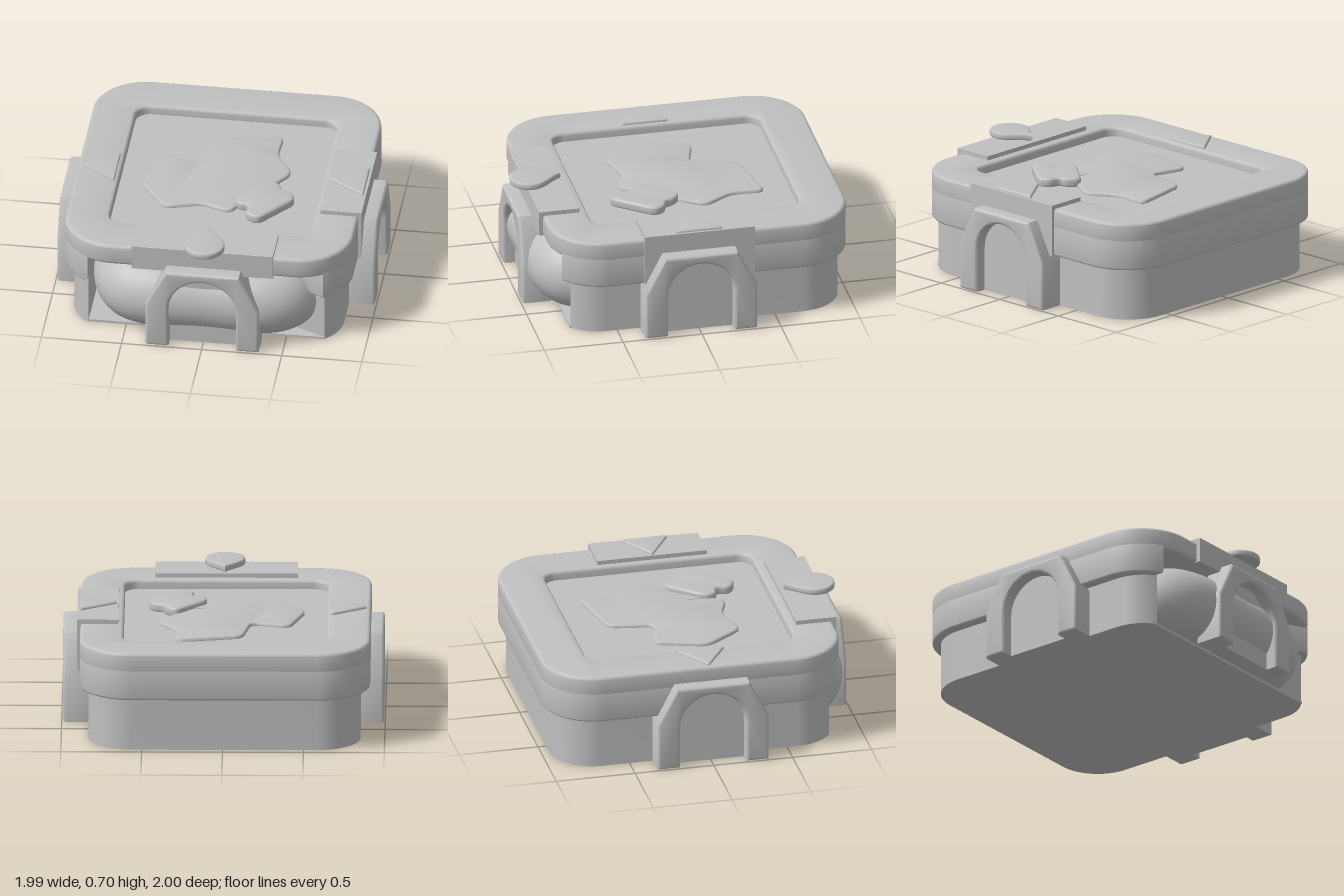
import * as THREE from 'three';
import { toCreasedNormals } from 'three/addons/utils/BufferGeometryUtils.js';

export function createModel() {
  const model = new THREE.Group();
  const grey = new THREE.MeshStandardMaterial({ color: 0xc0c0c0 });
  grey.name = 'plain grey';

  const add = (name, geometry) => {
    const mesh = new THREE.Mesh(geometry, grey);
    mesh.name = name;
    model.add(mesh);
    return mesh;
  };

  // Extrudes a shape from 0 to depth, with rounded edges inside its outline
  const extrude = (shape, depth, bevel) => toCreasedNormals(new THREE.ExtrudeGeometry(shape, {
    depth: depth - 2 * bevel, bevelEnabled: bevel > 0, bevelSize: bevel,
    bevelThickness: bevel, bevelOffset: -bevel, bevelSegments: 3, curveSegments: 10,
  }).translate(0, 0, bevel), 0.6);

  // Lays a plan shape drawn in (x, -z) flat, between two heights
  const slab = (name, shape, y0, y1, bevel = 0.015) =>
    add(name, extrude(shape, y1 - y0, bevel).rotateX(-Math.PI / 2).translate(0, y0, 0));

  // Polygon of (x, z) points with softened corners
  const softPolygon = (points, r) => {
    const p = points.map(([x, z]) => new THREE.Vector2(x, -z));
    const shape = new THREE.Shape();
    p.forEach((c, i) => {
      const prev = p[(i + p.length - 1) % p.length], next = p[(i + 1) % p.length];
      const toward = (q) => c.clone().lerp(q, Math.min(0.45, r / c.distanceTo(q)));
      const a = toward(prev), b = toward(next);
      if (i === 0) shape.moveTo(a.x, a.y); else shape.lineTo(a.x, a.y);
      shape.quadraticCurveTo(c.x, c.y, b.x, b.y);
    });
    shape.closePath();
    return shape;
  };

  const roundRect = (x0, x1, z0, z1, r) => {
    const s = new THREE.Shape();
    s.absarc(x1 - r, -z0 - r, r, 0, Math.PI / 2);
    s.absarc(x0 + r, -z0 - r, r, Math.PI / 2, Math.PI);
    s.absarc(x0 + r, -z1 + r, r, Math.PI, Math.PI * 1.5);
    s.absarc(x1 - r, -z1 + r, r, Math.PI * 1.5, Math.PI * 2);
    s.closePath();
    return s;
  };

  // Rounded rectangle with a wide bay cut into the front, leaving corner posts
  const bayOutline = (x0, x1, z0, z1, r, cut, bayBack) => {
    const a1 = Math.acos((cut - (x1 - r)) / r), a0 = Math.acos((cut + x0 + r) / r);
    const s = new THREE.Shape();
    s.moveTo(cut, -bayBack);
    s.absarc(x1 - r, -z1 + r, r, -a1, 0);
    s.absarc(x1 - r, -z0 - r, r, 0, Math.PI / 2);
    s.absarc(x0 + r, -z0 - r, r, Math.PI / 2, Math.PI);
    s.absarc(x0 + r, -z1 + r, r, Math.PI, Math.PI + a0);
    s.lineTo(-cut, -bayBack);
    s.closePath();
    return s;
  };

  // Base with front bay and floor
  slab('base', bayOutline(-0.85, 0.83, -0.95, 0.84, 0.27, 0.735, 0.1), 0, 0.36, 0);
  add('bayFloor', new THREE.BoxGeometry(1.48, 0.015, 0.7).translate(0, 0.0075, 0.43));

  // Lid: skirt, rim with recess, and sunken panel
  slab('lidSkirt', bayOutline(-0.91, 0.885, -1, 0.88, 0.33, 0.735, 0.1), 0.33, 0.535);
  const rim = roundRect(-0.91, 0.885, -1, 0.88, 0.33);
  rim.holes.push(roundRect(-0.64, 0.615, -0.715, 0.6, 0.09));
  slab('lidRim', rim, 0.5, 0.633, 0.02);
  slab('sunkenPanel', roundRect(-0.68, 0.66, -0.76, 0.64, 0.1), 0.5, 0.575, 0);

  // Raised patches on the panel
  slab('largePatch', softPolygon([
    [-0.51, 0.08], [-0.41, -0.25], [-0.17, -0.18], [-0.12, -0.47], [0.3, -0.56], [0.29, -0.34],
    [0.41, -0.16], [0.28, 0.04], [0.13, 0.24], [0.08, 0.33], [-0.1, 0.26], [-0.33, 0.33],
  ], 0.06), 0.56, 0.597);
  add('patchTab', new THREE.BoxGeometry(0.1, 0.03, 0.1).translate(0.17, 0.585, 0.145));
  slab('smallPatch', softPolygon([
    [0.1, 0.2], [0.29, -0.02], [0.36, 0.04], [0.37, 0.09], [0.44, 0.11], [0.47, 0.18],
    [0.27, 0.43], [0.18, 0.38], [0.2, 0.285], [0.12, 0.28],
  ], 0.05), 0.57, 0.63);

  // Rim plates
  add('frontPlate', new THREE.BoxGeometry(0.88, 0.16, 0.255).translate(-0.01, 0.58, 0.778));
  add('sidePlateTop', new THREE.BoxGeometry(0.255, 0.06, 0.695).translate(0.778, 0.63, -0.008));
  add('sidePlateSkirt', new THREE.BoxGeometry(0.06, 0.33, 0.695).translate(0.875, 0.495, -0.008));

  // Arrow and drop badges
  const arrow = (tip, base) => softPolygon([[tip, -0.005], [base, 0.145], [base, -0.16]], 0.02);
  slab('leftArrow', arrow(0.655, 0.89), 0.63, 0.677, 0.012);
  slab('rightArrow', arrow(-0.89, -0.665), 0.6, 0.65, 0.012);
  const drop = new THREE.Shape();
  drop.moveTo(0, -0.675);
  drop.bezierCurveTo(-0.03, -0.74, -0.125, -0.79, -0.125, -0.87);
  drop.absarc(0, -0.87, 0.125, Math.PI, Math.PI * 2);
  drop.bezierCurveTo(0.125, -0.79, 0.03, -0.74, 0, -0.675);
  slab('dropBadge', drop, 0.657, 0.7, 0.012);

  // Bent roll lying in the bay
  const v = (x, z) => new THREE.Vector3(x, 0.255, z);
  const rollPath = new THREE.CatmullRomCurve3([v(-0.495, 0.2), v(-0.495, 0.4), v(-0.495, 0.575)]
    .concat([45].map(() => v(-0.451, 0.681)), [v(-0.345, 0.725), v(0, 0.725), v(0.345, 0.725)],
      [v(0.446, 0.681), v(0.49, 0.575), v(0.49, 0.4), v(0.49, 0.2)]));
  add('roll', new THREE.TubeGeometry(rollPath, 80, 0.235, 32));

  // Arched doorways on the front and both sides
  const arch = new THREE.Shape();
  arch.moveTo(0.21, 0);
  for (const [x, y] of [[0.353, 0], [0.353, 0.3], [0.23, 0.54], [-0.23, 0.54], [-0.353, 0.3],
    [-0.353, 0], [-0.21, 0]]) arch.lineTo(x, y);
  arch.absarc(0, 0.27, 0.21, Math.PI, 0, true);
  arch.closePath();
  const archGeometry = extrude(arch, 0.19, 0.018).translate(0, 0, 0.803);
  const doorGeometry = new THREE.BoxGeometry(0.45, 0.49, 0.11).translate(0, 0.245, 0.86);
  [['front', 0], ['left', Math.PI / 2], ['right', -Math.PI / 2]].forEach(([side, turn]) => {
    add(side + 'Arch', archGeometry).rotation.y = turn;
    add(side + 'Door', doorGeometry).rotation.y = turn;
  });

  return model;
}
